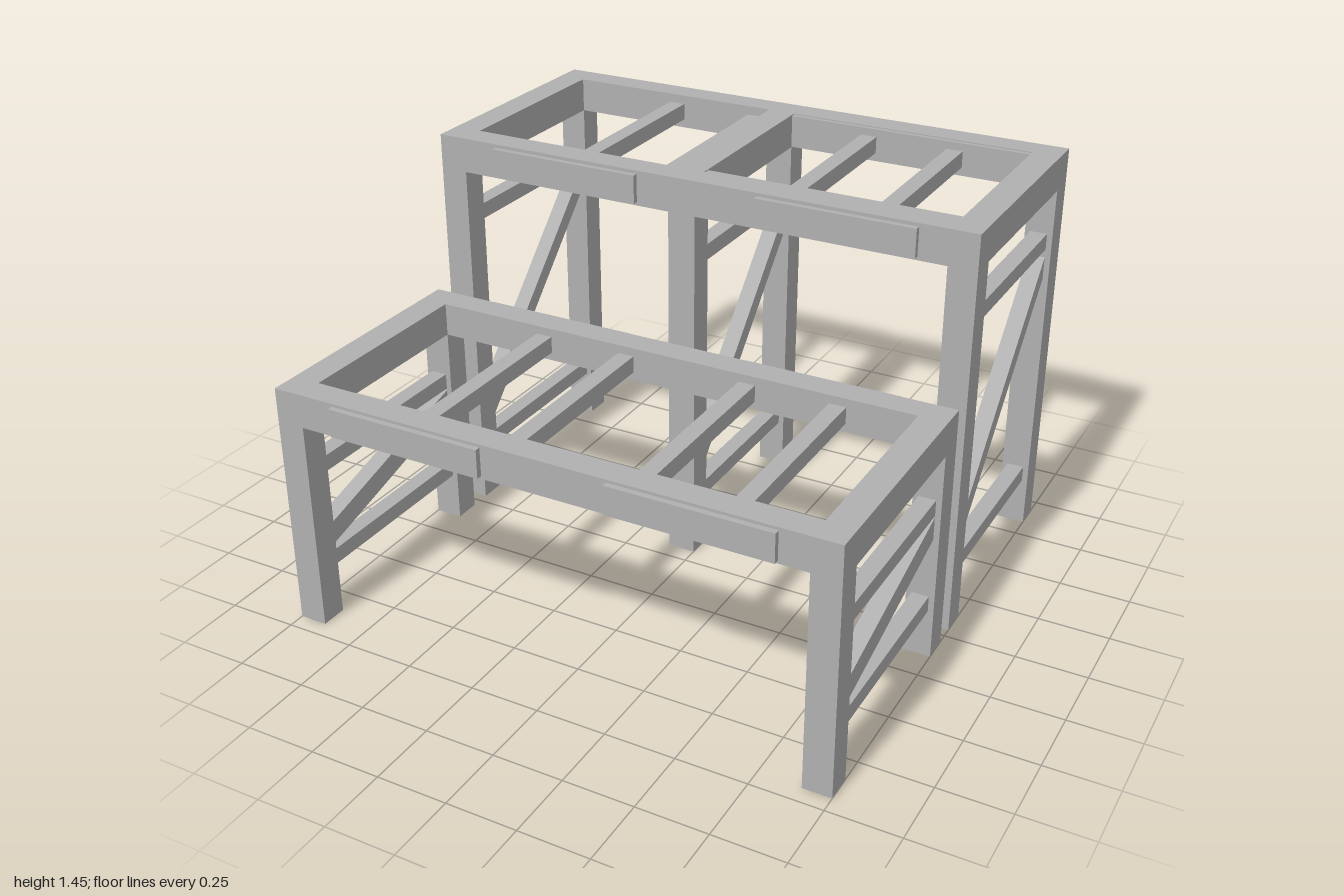
import * as THREE from 'three';

const grey = new THREE.MeshStandardMaterial({ color: 0xb0b0b0 });
grey.name = 'plain grey';

// Box given by its limits on each axis
function block(parent, name, [x0, x1], [y0, y1], [z0, z1]) {
  const mesh = new THREE.Mesh(new THREE.BoxGeometry(x1 - x0, y1 - y0, z1 - z0), grey);
  mesh.position.set((x0 + x1) / 2, (y0 + y1) / 2, (z0 + z1) / 2);
  mesh.name = name;
  parent.add(mesh);
}

// Sloping brace with upright cut ends, from z = za to z = zb
function diagonal(parent, x, za, ya, zb, yb, height) {
  const shape = new THREE.Shape([
    new THREE.Vector2(-za, ya), new THREE.Vector2(-zb, yb),
    new THREE.Vector2(-zb, yb + height), new THREE.Vector2(-za, ya + height),
  ]);
  const geo = new THREE.ExtrudeGeometry(shape, { depth: 0.06, bevelEnabled: false });
  geo.rotateY(Math.PI / 2);
  const mesh = new THREE.Mesh(geo, grey);
  mesh.position.x = x - 0.03;
  mesh.name = 'diagonalBrace';
  parent.add(mesh);
}

// Pair of legs joined by two bars and a diagonal
function trestle(parent, x, zFront, zBack, top, upperBar, diag) {
  const xs = [x - 0.05, x + 0.05];
  const inner = [zBack + 0.097, zFront - 0.097];
  block(parent, 'frontLeg', xs, [0, top], [inner[1], zFront]);
  block(parent, 'backLeg', xs, [0, top], [zBack, inner[0]]);
  for (const y of [0.175, upperBar]) {
    block(parent, 'crossBar', [x - 0.03, x + 0.03], [y, y + 0.058], inner);
  }
  diagonal(parent, x, inner[1], diag[0], inner[0], diag[1], 0.083);
}

// Rectangular top frame with slats and face plates
function bench(name, zFront, zBack, y0, y1, upperBar, diag) {
  const g = new THREE.Group();
  g.name = name;
  const inner = [zBack + 0.097, zFront - 0.097];
  block(g, 'frontRail', [-1, 1], [y0, y1], [inner[1], zFront]);
  block(g, 'backRail', [-1, 1], [y0, y1], [zBack, inner[0]]);
  for (const s of [-1, 1]) {
    block(g, 'endRail', [s * 0.95 - 0.05, s * 0.95 + 0.05], [y0, y1], inner);
    trestle(g, s * 0.95, zFront, zBack, y0, upperBar, diag);
  }
  const mid = (y0 + y1) / 2;
  for (const x of [-0.485, -0.157, 0.302, 0.627]) {
    block(g, 'slat', [x - 0.03, x + 0.03], [mid - 0.03, mid + 0.03], inner);
  }
  for (const xs of [[-0.77, -0.205], [0.24, 0.8]]) {
    block(g, 'frontPlate', xs, [mid - 0.05, mid + 0.05], [zFront, zFront + 0.02]);
    block(g, 'backPlate', xs, [mid - 0.05, mid + 0.05], [zBack - 0.02, zBack]);
  }
  return g;
}

export function createModel() {
  const model = new THREE.Group();
  model.name = 'twoTierFrame';

  model.add(bench('lowBench', 0.94, 0.038, 0.765, 0.885, 0.542, [0.253, 0.452]));

  const high = bench('highBench', -0.038, -0.938, 1.328, 1.452, 1.108, [0.278, 0.995]);
  // Middle trestle and beam, set slightly inward
  trestle(high, -0.05, -0.065, -0.922, 1.328, 1.108, [0.29, 0.99]);
  block(high, 'middleRail', [-0.1, 0], [1.328, 1.452], [-0.841, -0.135]);
  // Inner ledgers on one half
  block(high, 'frontLedger', [0, 0.9], [1.33, 1.448], [-0.165, -0.135]);
  block(high, 'backLedger', [0, 0.9], [1.33, 1.448], [-0.841, -0.825]);
  model.add(high);
  return model;
}
